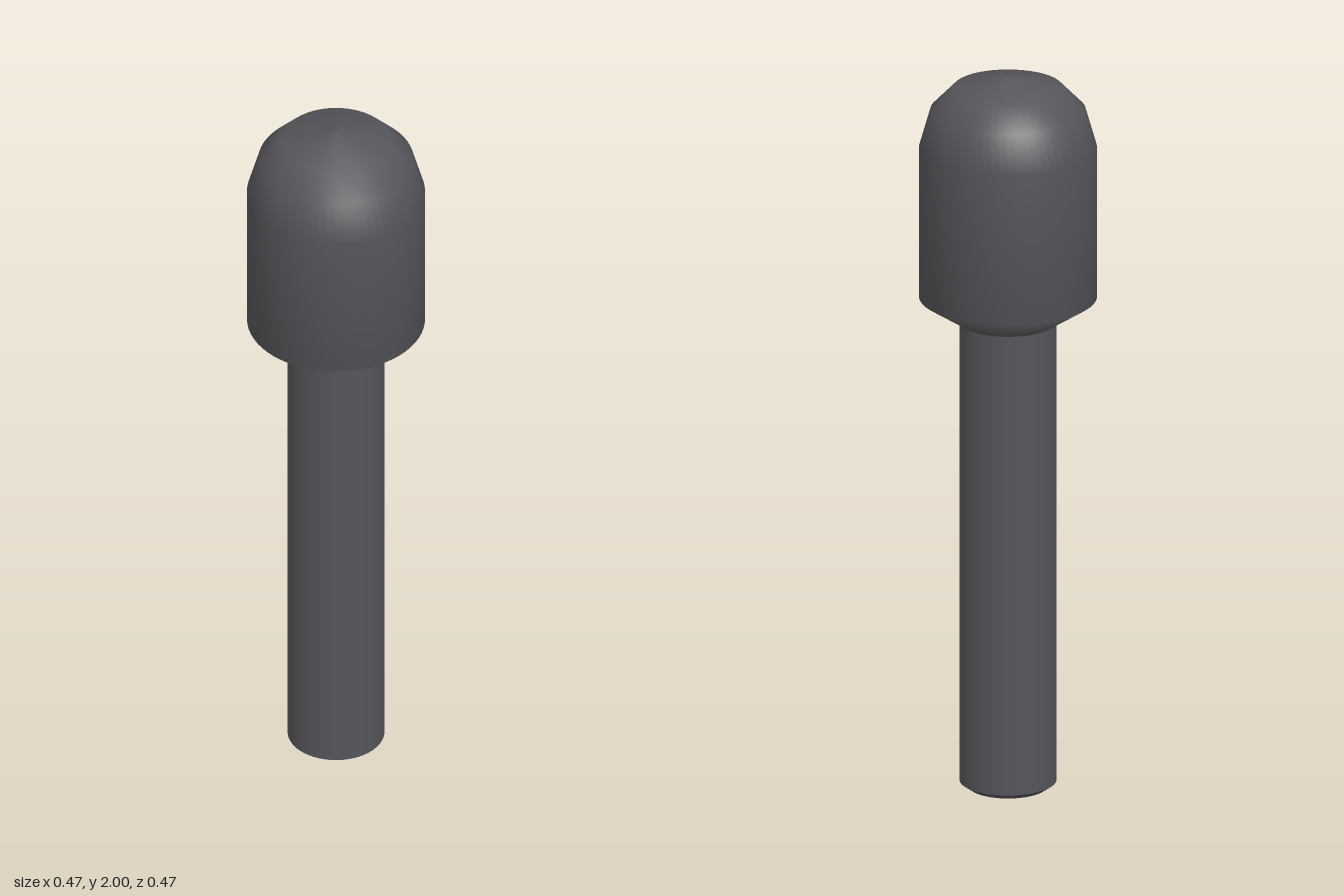
import * as THREE from 'three';

export function createModel() {
  const group = new THREE.Group();
  const charcoal = new THREE.MeshStandardMaterial({ color: 0x55555a });
  charcoal.name = 'charcoal';

  // Turned part from [radius, height] pairs listed bottom to top
  const turned = (name, profile) => {
    const points = profile.map(([r, y]) => new THREE.Vector2(r, y));
    const mesh = new THREE.Mesh(new THREE.LatheGeometry(points, 64), charcoal);
    mesh.name = name;
    group.add(mesh);
  };

  // Bevelled foot of the handle
  turned('handleEnd', [[0, 0], [0.105, 0.003], [0.129, 0.02]]);
  // Straight handle, with its own normals so the ends stay crisp
  turned('handle', [[0.129, 0.02], [0.129, 1.31]]);
  // Smooth-shaded head: shoulder, straight side and faceted dome
  turned('head', [
    [0.129, 1.31], [0.237, 1.38], [0.237, 1.8],
    [0.207, 1.905], [0.146, 1.968], [0, 2],
  ]);

  return group;
}
